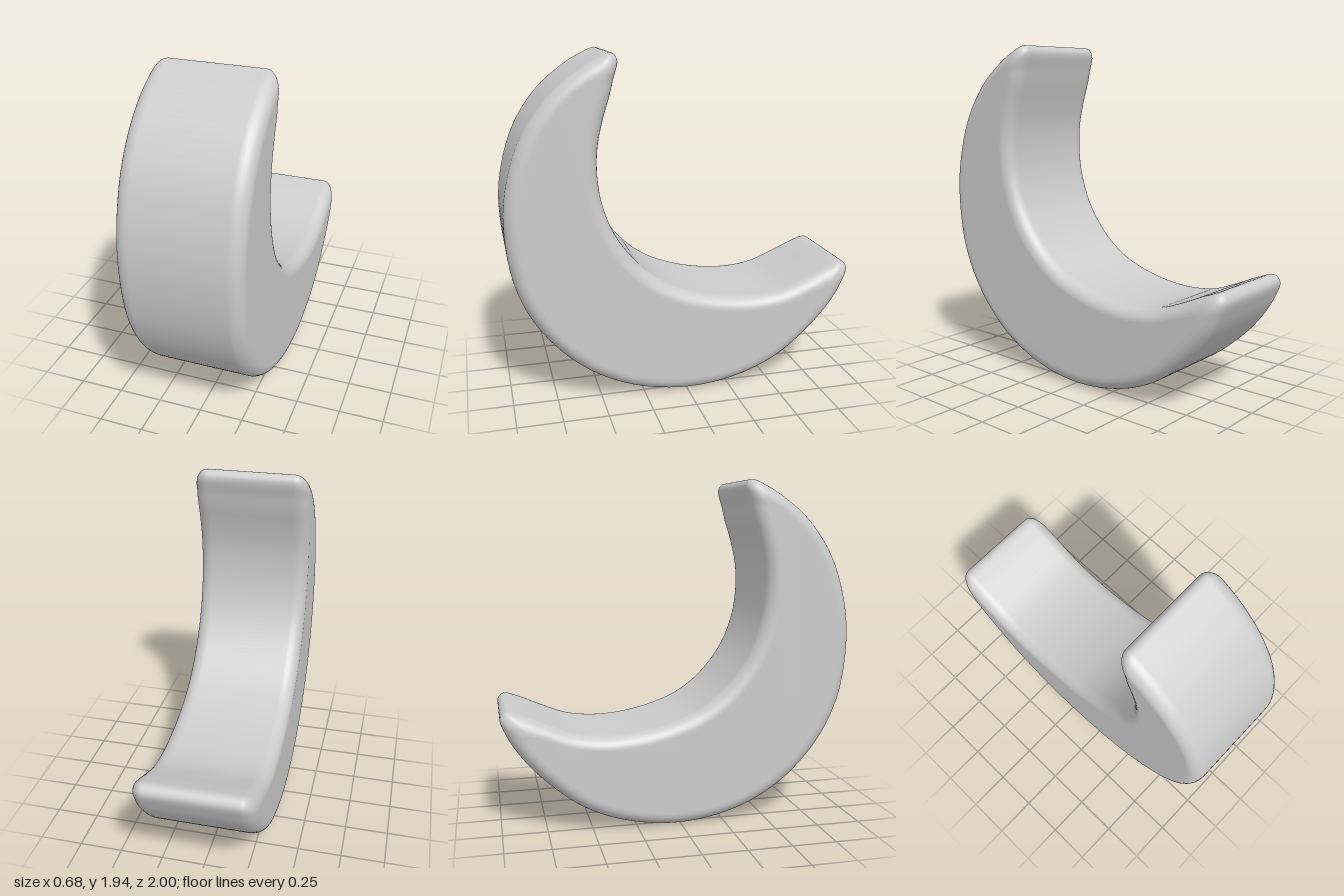
import * as THREE from 'three';

// Crescent profile as [z, y]; outer and inner edges are paired from upper to lower horn
const outer = [[0.6, 1.845], [0.75, 1.72], [0.89, 1.52], [0.975, 1.27], [1, 1.03], [0.955, 0.7], [0.83, 0.44],
  [0.6, 0.2], [0.32, 0.055], [0, 0], [-0.3, 0.035], [-0.55, 0.135], [-0.77, 0.31], [-0.9, 0.46]];
const inner = [[0.42, 1.72], [0.46, 1.59], [0.49, 1.45], [0.495, 1.3], [0.475, 1.15], [0.42, 0.99], [0.34, 0.86],
  [0.23, 0.74], [0.1, 0.65], [-0.05, 0.59], [-0.22, 0.55], [-0.4, 0.535], [-0.58, 0.555], [-0.74, 0.615]];
const upperTip = [[0.4, 1.8], [0.375, 1.905], [0.405, 1.94], [0.49, 1.91]];
const lowerTip = [[-0.965, 0.57], [-0.995, 0.66], [-0.96, 0.697], [-0.87, 0.672]];

const HALF = 0.338, ROUND = 0.08, INSET = 0.075, STEPS = 8, PER_POINT = 6;

const mix = (a, b, t) => [a[0] + (b[0] - a[0]) * t, a[1] + (b[1] - a[1]) * t];

// Smooth closed outline through the control points
function outline(points) {
  const curve = new THREE.CatmullRomCurve3(points.map(([z, y]) => new THREE.Vector3(0, y, z)), true);
  return curve.getPoints(points.length * PER_POINT).slice(0, -1);
}

// Move each edge towards its partner, and shrink the tips into the horns
function insetEdge(from, to) {
  return from.map((p, i) => {
    const width = Math.hypot(p[0] - to[i][0], p[1] - to[i][1]);
    return mix(p, to[i], Math.min(INSET / width, 0.36));
  });
}
function insetTip(tip, i) {
  const middle = mix(outer[i], inner[i], 0.5);
  return tip.map((p) => mix(p, middle, 0.75));
}

function crescentGeometry() {
  const full = outline([...upperTip, ...outer, ...lowerTip, ...[...inner].reverse()]);
  const small = outline([...insetTip(upperTip, 0), ...insetEdge(outer, inner),
    ...insetTip(lowerTip, outer.length - 1), ...insetEdge(inner, outer).reverse()]);
  const n = full.length;

  // Rounded edge: x position and inset amount of each ring, mirrored to the other side
  const half = [];
  for (let k = STEPS; k >= 0; k--) {
    const a = (k / STEPS) * Math.PI / 2;
    half.push([HALF - ROUND * (1 - Math.sin(a)), 1 - Math.cos(a)]);
  }
  const rings = [...half, ...half.map(([x, m]) => [-x, m]).reverse()];

  const positions = [], index = [];
  for (const [x, m] of rings) {
    for (let j = 0; j < n; j++) {
      const p = full[j].clone().lerp(small[j], m);
      positions.push(x, p.y, p.z);
    }
  }
  for (let r = 0; r < rings.length - 1; r++) {
    for (let j = 0; j < n; j++) {
      const k = (j + 1) % n, a = r * n, b = a + n;
      index.push(a + j, b + j, b + k, a + j, b + k, a + k);
    }
  }
  // Flat side faces
  const last = (rings.length - 1) * n;
  const flat = small.map((p) => new THREE.Vector2(-p.z, p.y));
  for (const [a, b, c] of THREE.ShapeUtils.triangulateShape(flat, [])) {
    index.push(a, b, c, last + a, last + c, last + b);
  }

  const geometry = new THREE.BufferGeometry();
  geometry.setAttribute('position', new THREE.Float32BufferAttribute(positions, 3));
  geometry.setIndex(index);
  geometry.computeVertexNormals();
  return geometry;
}

export function createModel() {
  const group = new THREE.Group();
  group.name = 'crescentModel';
  const crescent = new THREE.Mesh(crescentGeometry(), new THREE.MeshStandardMaterial({ color: 0xcccccc }));
  crescent.name = 'crescent';
  group.add(crescent);
  return group;
}
